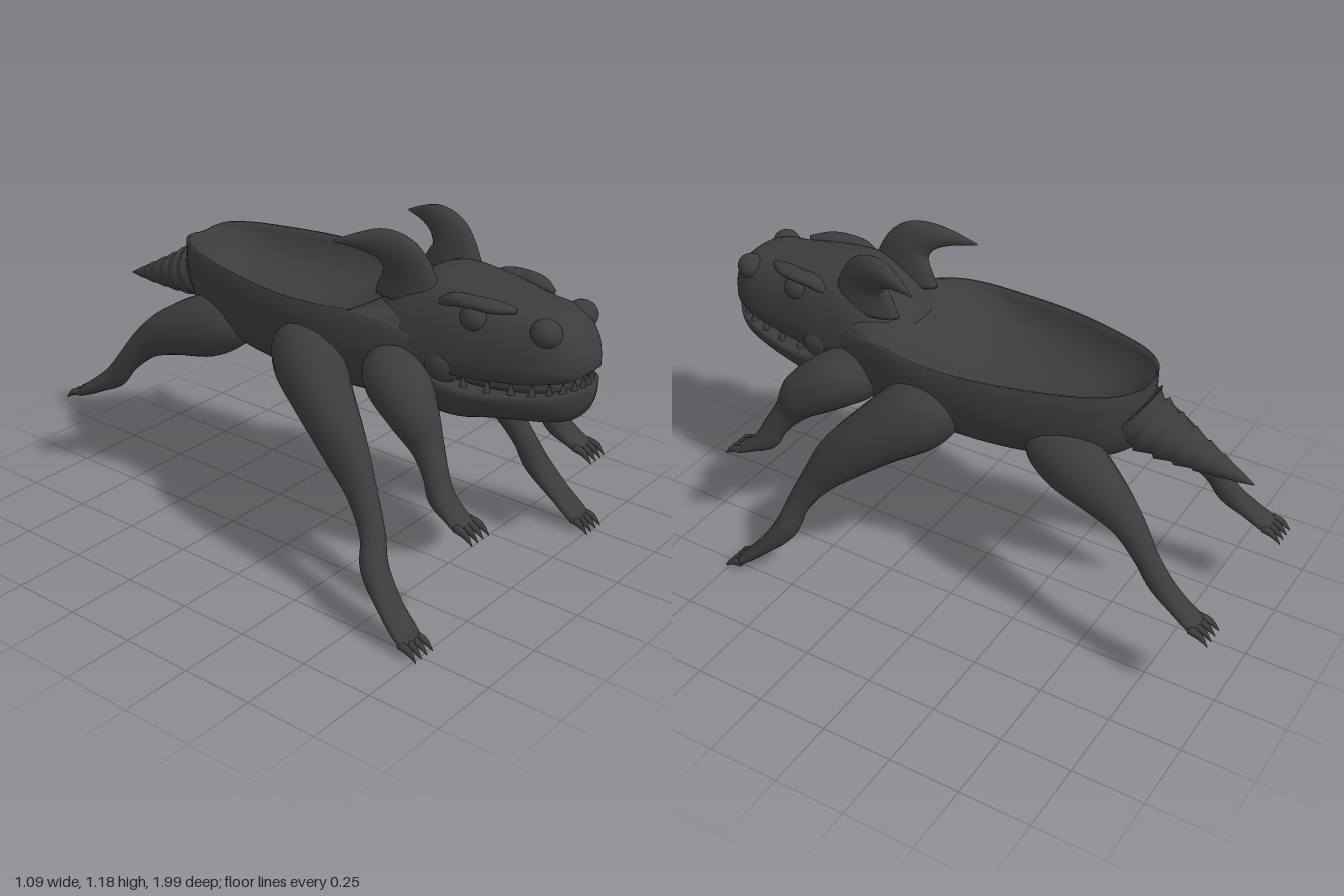
import * as THREE from 'three';

const hide = new THREE.MeshStandardMaterial({ color: 0x3c3c3c });
hide.name = 'charcoal hide';

// Catmull-Rom through rows of numbers, n steps per span
function smooth(rows, n) {
  const out = [];
  const at = i => rows[Math.max(0, Math.min(rows.length - 1, i))];
  for (let i = 0; i < rows.length - 1; i++) {
    for (let k = 0; k < n; k++) {
      const t = k / n;
      out.push(rows[i].map((b, c) => {
        const a = at(i - 1)[c], d = at(i + 1)[c], e = at(i + 2)[c];
        return b + 0.5 * t * (d - a + t * (2 * a - 5 * b + 4 * d - e + t * (3 * (b - d) + e - a)));
      }));
    }
  }
  out.push(rows[rows.length - 1]);
  return out;
}

// Closed skin over rings of points, turned outward by its signed volume
function skin(name, rings) {
  const m = rings[0].length, pts = rings.flat(), idx = [];
  for (let i = 0; i < rings.length - 1; i++) {
    for (let j = 0; j < m; j++) {
      const a = i * m + j, b = i * m + (j + 1) % m;
      idx.push(a, b, a + m, b, b + m, a + m);
    }
  }
  [0, rings.length - 1].forEach((r, end) => {
    const c = new THREE.Vector3();
    rings[r].forEach(p => c.addScaledVector(p, 1 / m));
    const ci = pts.push(c) - 1;
    for (let j = 0; j < m; j++) {
      const a = r * m + j, b = r * m + (j + 1) % m;
      if (end) idx.push(a, b, ci); else idx.push(b, a, ci);
    }
  });
  let vol = 0;
  const x = new THREE.Vector3();
  for (let i = 0; i < idx.length; i += 3) {
    vol += x.crossVectors(pts[idx[i]], pts[idx[i + 1]]).dot(pts[idx[i + 2]]);
  }
  if (vol < 0) idx.reverse();
  const g = new THREE.BufferGeometry().setFromPoints(pts);
  g.setIndex(idx);
  g.computeVertexNormals();
  const mesh = new THREE.Mesh(g, hide);
  mesh.name = name;
  return mesh;
}

// Tapered limb through rows [x, y, z, half width, half thickness]
function limb(name, rows, s = 1, n = 5, sides = 18) {
  const path = smooth(rows, n);
  const pos = path.map(p => new THREE.Vector3(p[0] * s, p[1], p[2]));
  return skin(name, path.map((p, i) => {
    const tan = pos[Math.min(i + 1, pos.length - 1)].clone().sub(pos[Math.max(i - 1, 0)]).normalize();
    const side = new THREE.Vector3(1, 0, 0).addScaledVector(tan, -tan.x).normalize();
    const up = new THREE.Vector3().crossVectors(tan, side);
    return Array.from({ length: sides }, (_, j) => {
      const a = j / sides * Math.PI * 2;
      return pos[i].clone().addScaledVector(side, Math.cos(a) * p[3]).addScaledVector(up, Math.sin(a) * p[4]);
    });
  }));
}

// Half-dome sections from rows [z, half width, flat y, dome y]
function halfDome(name, rows, power) {
  return skin(name, smooth(rows, 4).map(([z, w, flat, dome]) => {
    const ring = [];
    for (let i = 0; i <= 24; i++) {
      const a = i / 24 * Math.PI, c = Math.cos(a);
      ring.push(new THREE.Vector3(
        w * Math.sign(c) * Math.abs(c) ** power, flat + (dome - flat) * Math.abs(Math.sin(a)) ** power, z));
    }
    for (let i = 1; i < 6; i++) ring.push(new THREE.Vector3(w * (i / 3 - 1), flat, z));
    return ring;
  }));
}

function ball(name, x, y, z, sx, sy, sz) {
  const mesh = new THREE.Mesh(new THREE.SphereGeometry(1, 20, 14), hide);
  mesh.position.set(x, y, z);
  mesh.scale.set(sx, sy, sz);
  mesh.name = name;
  return mesh;
}

// Hollow, boat-shaped body: rows [z, half width, rim y, belly y, hollow depth]
function body() {
  const rows = [
    [-0.585, 0.05, 0.955, 0.76, 0.005], [-0.565, 0.105, 0.96, 0.725, 0.03], [-0.5, 0.165, 0.957, 0.68, 0.1],
    [-0.4, 0.208, 0.953, 0.648, 0.15], [-0.25, 0.25, 0.95, 0.622, 0.17], [-0.1, 0.277, 0.945, 0.612, 0.17],
    [0.05, 0.286, 0.942, 0.61, 0.14], [0.17, 0.28, 0.945, 0.61, 0.07], [0.27, 0.258, 0.945, 0.61, 0.005],
    [0.36, 0.232, 0.93, 0.61, -0.05], [0.46, 0.2, 0.9, 0.612, -0.1], [0.55, 0.17, 0.86, 0.63, -0.08]];
  return skin('hollowBody', smooth(rows, 4).map(([z, w, rim, belly, dip]) => {
    const ring = [], wi = Math.max(w - 0.016, w * 0.8);
    for (let i = 0; i <= 28; i++) {
      const a = i / 28 * Math.PI, c = Math.cos(a);
      ring.push(new THREE.Vector3(
        w * Math.sign(c) * Math.abs(c) ** 0.75, rim - (rim - belly) * Math.abs(Math.sin(a)) ** 0.8, z));
    }
    for (let i = 0; i <= 20; i++) {
      const a = i / 20 * Math.PI;
      ring.push(new THREE.Vector3(-wi * Math.cos(a), rim - dip * Math.sin(a), z));
    }
    return ring;
  }));
}

// Cone-shaped tail with overlapping ridges
function tail() {
  const rows = [];
  const steps = 42;
  for (let i = 0; i <= steps; i++) {
    const t = i / steps, ridge = 1.08 - 0.2 * ((t * 7) % 1) * (1 - t * 0.5);
    const r = (1 - t) ** 0.9 * ridge;
    rows.push([0, 0.835 - 0.13 * t ** 0.75, -0.54 - 0.42 * t, 0.108 * r + 0.001, 0.108 * r + 0.001]);
  }
  return limb('ridgedTail', rows, 1, 1, 22);
}

const legs = {
  frontLeg: [[0.12, 0.79, 0.33, 0.03, 0.03], [0.16, 0.77, 0.38, 0.1, 0.09], [0.225, 0.745, 0.45, 0.11, 0.1],
    [0.28, 0.68, 0.55, 0.075, 0.085], [0.292, 0.6, 0.61, 0.05, 0.055], [0.315, 0.53, 0.66, 0.04, 0.042],
    [0.327, 0.475, 0.69, 0.043, 0.042], [0.335, 0.435, 0.745, 0.046, 0.026], [0.338, 0.412, 0.79, 0.048, 0.017],
    [0.338, 0.406, 0.802, 0.03, 0.008]],
  middleLeg: [[0.2, 0.81, 0.0, 0.03, 0.03], [0.225, 0.785, 0.04, 0.09, 0.1], [0.265, 0.735, 0.12, 0.11, 0.125],
    [0.325, 0.65, 0.235, 0.09, 0.105], [0.37, 0.545, 0.35, 0.065, 0.085], [0.397, 0.43, 0.44, 0.045, 0.055],
    [0.425, 0.32, 0.505, 0.042, 0.04], [0.457, 0.225, 0.54, 0.048, 0.042], [0.48, 0.13, 0.62, 0.05, 0.028],
    [0.491, 0.06, 0.695, 0.052, 0.02], [0.494, 0.04, 0.72, 0.035, 0.009]],
  rearLeg: [[0.12, 0.76, -0.25, 0.03, 0.03], [0.14, 0.73, -0.31, 0.09, 0.09], [0.17, 0.69, -0.42, 0.1, 0.11],
    [0.21, 0.645, -0.55, 0.075, 0.085], [0.235, 0.585, -0.65, 0.05, 0.058], [0.258, 0.5, -0.73, 0.036, 0.042],
    [0.266, 0.43, -0.785, 0.036, 0.042], [0.278, 0.385, -0.85, 0.04, 0.03], [0.287, 0.343, -0.92, 0.046, 0.021],
    [0.288, 0.33, -0.945, 0.034, 0.009]]
};

function leg(name, rows, s) {
  const g = new THREE.Group();
  g.name = name;
  g.add(limb(name + 'Limb', rows, s));
  // claws fan out from the toe end
  const [x, y, z] = rows[rows.length - 1], d = Math.sign(z);
  for (const k of [-1.5, -0.5, 0.5, 1.5]) {
    const cx = x + k * 0.024;
    g.add(limb('claw', [[cx, y + 0.012, z - 0.025 * d, 0.014, 0.014], [cx + k * 0.003, y + 0.004, z + 0.012 * d, 0.01, 0.012],
      [cx + k * 0.005, y - 0.024, z + 0.043 * d, 0.001, 0.001]], s, 3, 8));
  }
  return g;
}

export function createModel() {
  const model = new THREE.Group();
  model.name = 'sixLeggedBeast';
  model.add(body(), tail());

  // Skull, jaw and the filling of the mouth
  model.add(halfDome('skull', [
    [0.25, 0.13, 0.84, 0.93], [0.33, 0.19, 0.8, 1.005], [0.42, 0.205, 0.78, 1.062], [0.5, 0.2, 0.78, 1.08],
    [0.58, 0.195, 0.805, 1.075], [0.68, 0.182, 0.81, 1.062], [0.78, 0.17, 0.822, 1.042], [0.86, 0.155, 0.832, 1.035],
    [0.92, 0.13, 0.842, 1.01], [0.97, 0.088, 0.85, 0.96], [1.0, 0.025, 0.87, 0.9]], 0.7));
  model.add(halfDome('lowerJaw', [
    [0.35, 0.2, 0.8, 0.63], [0.5, 0.2, 0.79, 0.612], [0.6, 0.2, 0.775, 0.617], [0.7, 0.19, 0.772, 0.645],
    [0.8, 0.17, 0.782, 0.664], [0.9, 0.135, 0.797, 0.68], [0.96, 0.09, 0.808, 0.705], [0.995, 0.025, 0.81, 0.765]], 0.85));
  model.add(limb('mouthFilling', [[0, 0.8, 0.5, 0.16, 0.06], [0, 0.8, 0.7, 0.155, 0.06],
    [0, 0.81, 0.88, 0.11, 0.05], [0, 0.82, 0.95, 0.04, 0.03]]));

  for (const s of [1, -1]) {
    for (const name in legs) model.add(leg(name, legs[name], s));

    // Swept-back blade horns
    model.add(limb('horn', [[0.115, 0.98, 0.4, 0.045, 0.13], [0.118, 1.06, 0.395, 0.038, 0.1],
      [0.13, 1.115, 0.37, 0.036, 0.078], [0.146, 1.146, 0.315, 0.034, 0.052],
      [0.172, 1.147, 0.24, 0.02, 0.026], [0.197, 1.134, 0.16, 0.002, 0.003]], s));

    model.add(ball('eye', s * 0.142, 0.99, 0.66, 0.04, 0.043, 0.046));
    model.add(limb('brow', [[0.1, 1.03, 0.78, 0.01, 0.01], [0.125, 1.035, 0.72, 0.03, 0.02],
      [0.14, 1.038, 0.66, 0.03, 0.02], [0.14, 1.03, 0.58, 0.03, 0.02], [0.14, 1.0, 0.52, 0.01, 0.01]], s));
    model.add(ball('nostrilRidge', s * 0.1, 0.985, 0.885, 0.045, 0.045, 0.05));
    model.add(ball('cheek', s * 0.165, 0.82, 0.56, 0.04, 0.06, 0.07));

    // Teeth along both jaw edges
    const edge = smooth([[0.178, 0.63], [0.17, 0.74], [0.148, 0.85], [0.115, 0.925], [0.07, 0.965], [0.015, 0.982]], 3);
    edge.forEach(([x, z], i) => {
      const upper = i % 2 === 0, long = i % 3 === 0 ? 0.06 : 0.045;
      const tooth = new THREE.Mesh(new THREE.ConeGeometry(0.013, long, 8), hide);
      const lip = 0.812 + (z - 0.6) * 0.1;
      tooth.position.set(s * x * 0.96, upper ? lip + 0.012 : lip - 0.025, z - 0.012);
      if (upper) tooth.rotation.x = Math.PI;
      tooth.name = upper ? 'upperTooth' : 'lowerTooth';
      model.add(tooth);
    });
  }
  return model;
}
